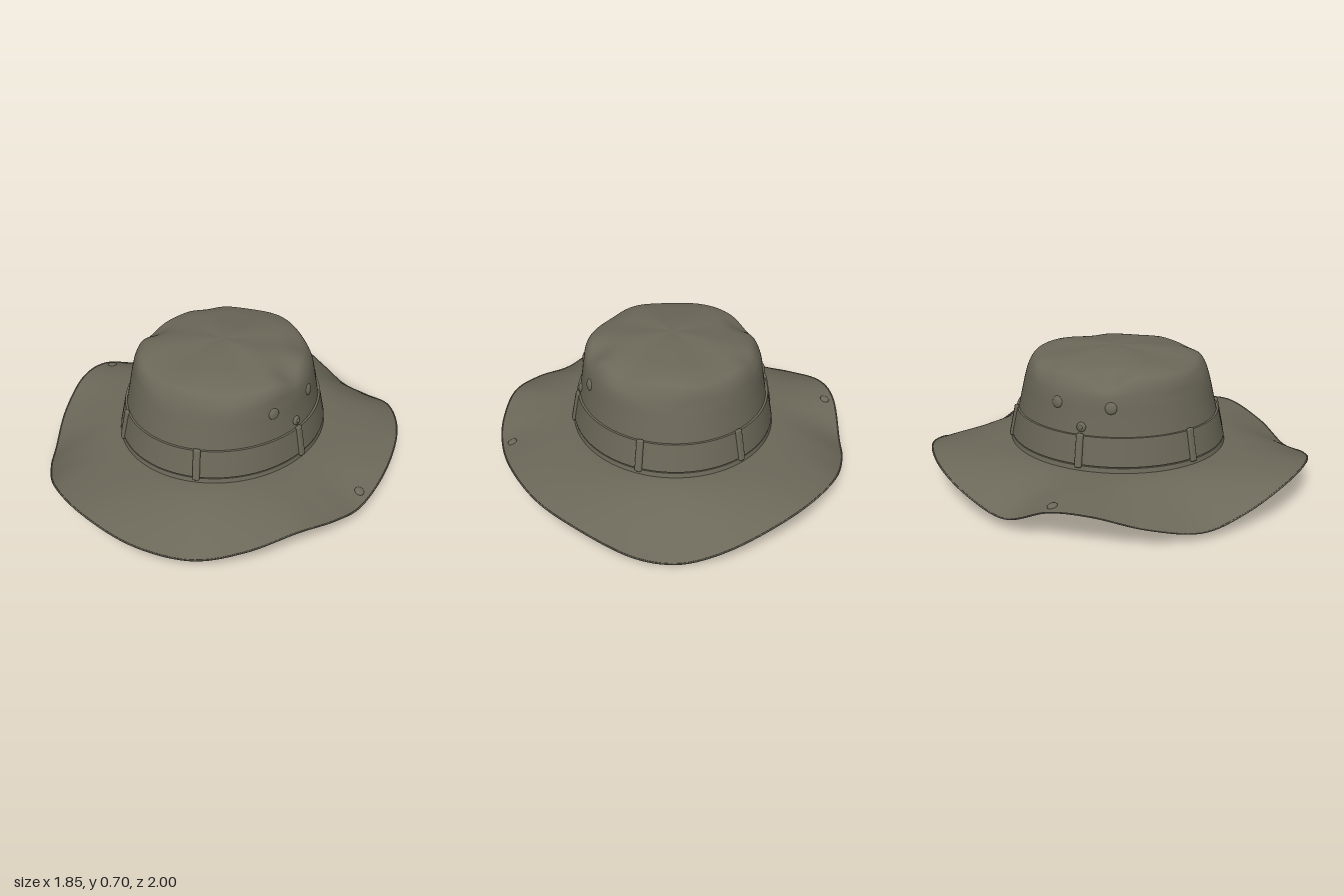
import * as THREE from 'three';
import { mergeVertices, toCreasedNormals } from 'three/addons/utils/BufferGeometryUtils.js';
import { RoundedBoxGeometry } from 'three/addons/geometries/RoundedBoxGeometry.js';

const CZ = -0.02; // the crown sits slightly behind the centre

// Half widths of the leaning, oval crown wall at height y
const wall = (y, out = 0) => ({ rx: 0.522 - (y - 0.2) * 0.19 + out, rz: 0.568 - (y - 0.2) * 0.23 + out });

function wallPoint(angle, y, out = 0) {
  const { rx, rz } = wall(y, out);
  return new THREE.Vector3(rx * Math.cos(angle), y, CZ + rz * Math.sin(angle));
}

// Smooth surface from fn(u, v), closed around u
function sweep(nu, nv, fn) {
  const pos = [], index = [];
  for (let j = 0; j <= nv; j++)
    for (let i = 0; i < nu; i++) pos.push(...fn(i / nu, j / nv).toArray());
  for (let j = 0; j < nv; j++)
    for (let i = 0; i < nu; i++) {
      const k = (i + 1) % nu, a = j * nu + i, b = j * nu + k, c = a + nu, d = b + nu;
      index.push(a, c, b, b, c, d);
    }
  let g = new THREE.BufferGeometry();
  g.setAttribute('position', new THREE.Float32BufferAttribute(pos, 3));
  g.setIndex(index);
  g = mergeVertices(g, 1e-5);
  g.computeVertexNormals();
  return g;
}

// Wavy outer edge of the brim, clockwise from the left side
const rim = new THREE.CatmullRomCurve3([
  [0.92, 0.115, 0], [0.9, 0.145, 0.2], [0.83, 0.17, 0.4], [0.69, 0.115, 0.62],
  [0.5, 0.065, 0.79], [0.27, 0.125, 0.94], [0, 0.19, 0.995], [-0.27, 0.175, 0.94],
  [-0.48, 0.095, 0.8], [-0.64, 0.045, 0.64], [-0.8, 0.1, 0.43], [-0.9, 0.17, 0.2],
  [-0.92, 0.165, 0], [-0.88, 0.07, -0.24], [-0.81, 0.11, -0.47], [-0.68, 0.17, -0.7],
  [-0.46, 0.18, -0.89], [-0.2, 0.12, -0.985], [0, 0.045, -0.99], [0.17, 0.005, -0.96],
  [0.36, 0.04, -0.91], [0.58, 0.13, -0.79], [0.76, 0.155, -0.58], [0.88, 0.145, -0.28],
].map((p) => new THREE.Vector3(...p)), true, 'catmullrom');

// Brim point: t = 0 at the crown, 1 at the rim
function brimPoint(u, t) {
  const outer = rim.getPoint(u);
  const { rx, rz } = wall(0.2);
  const inner = wallPoint(Math.atan2((outer.z - CZ) / rz, outer.x / rx), 0.205);
  const p = inner.clone().lerp(outer, t);
  p.y = THREE.MathUtils.lerp(inner.y, outer.y, t ** 1.8);
  return p;
}

// Crown profile: x = half width, y = height, z = half depth
const profile = new THREE.CatmullRomCurve3([
  [0.522, 0.2, 0.568], [0.49, 0.37, 0.53], [0.475, 0.46, 0.508], [0.463, 0.54, 0.488],
  [0.447, 0.6, 0.468], [0.42, 0.642, 0.44], [0.36, 0.666, 0.375], [0.24, 0.684, 0.25],
  [0.1, 0.698, 0.1], [0, 0.7, 0],
].map((p) => new THREE.Vector3(...p)));

// Soft dents in the shoulder of the crown: x, z, depth, width
const dents = [[0.41, -0.06, 0.035, 0.09], [-0.4, 0.09, 0.035, 0.08], [-0.36, -0.28, 0.02, 0.08],
  [0.28, 0.33, 0.012, 0.1], [0.3, -0.33, 0.015, 0.09]];

function crownPoint(u, v) {
  const a = u * Math.PI * 2, p = profile.getPoint(v);
  const soft = THREE.MathUtils.smoothstep(p.y, 0.54, 0.65);
  const edge = Math.min(1, p.x / 0.35);
  const ripple = 1 + soft * edge * (0.012 * Math.sin(3 * a + 1) + 0.008 * Math.sin(7 * a));
  const x = p.x * Math.cos(a) * ripple, z = CZ + p.z * Math.sin(a) * ripple;
  let y = p.y + soft * edge * 0.006 * Math.sin(5 * a + 2);
  for (const [dx, dz, depth, w] of dents)
    y -= soft * depth * Math.exp(-((x - dx) ** 2 + (z - dz) ** 2) / (w * w));
  return new THREE.Vector3(x, y, z);
}

// Flat strip wrapped around the crown
function strip(y0, y1, out) {
  const section = [[y0, -0.004], [y0, out], [y1, out], [y1, -0.004]];
  const g = sweep(96, 3, (u, v) => {
    const [y, o] = section[Math.round(v * 3)];
    return wallPoint(u * Math.PI * 2, y, o);
  });
  return toCreasedNormals(g, 0.6);
}

export function createModel() {
  const hat = new THREE.Group();
  hat.name = 'hat';
  const cloth = new THREE.MeshStandardMaterial({ color: 0x6c6859, side: THREE.DoubleSide });
  cloth.name = 'olive cloth';

  const add = (name, geometry) => {
    const m = new THREE.Mesh(geometry, cloth);
    m.name = name;
    hat.add(m);
    return m;
  };
  // Fix a part on the crown wall, facing outward
  const attach = (m, angle, y, out) => {
    const { rx, rz } = wall(y);
    m.position.copy(wallPoint(angle, y, out));
    const n = new THREE.Vector3(Math.cos(angle) / rx, 0.4, Math.sin(angle) / rz);
    m.lookAt(m.position.clone().add(n));
  };
  const dome = (r, h) => new THREE.SphereGeometry(r, 20, 12).scale(1, 1, h / r);

  // Brim with a narrow sewn edge
  add('brim', sweep(192, 24, (u, v) => brimPoint(u, 1 - v)));
  add('brimHem', new THREE.TubeGeometry(rim, 192, 0.004, 6, true));

  // Crown, band and base seam
  add('crown', sweep(128, 64, crownPoint));
  add('band', strip(0.235, 0.375, 0.012));
  add('baseSeam', strip(0.2, 0.228, 0.009));

  // Loops over the band
  for (const deg of [0, 61, 119, 180, 241, 299]) {
    const loop = add('bandLoop', new RoundedBoxGeometry(0.036, 0.17, 0.022, 3, 0.009));
    attach(loop, THREE.MathUtils.degToRad(deg), 0.303, 0.014);
  }

  // Snaps and vents on both sides of the crown
  for (const side of [0, Math.PI]) {
    attach(add('crownSnap', dome(0.024, 0.014)), side, 0.413, 0.002);
    attach(add('snapCap', dome(0.011, 0.007)), side, 0.415, 0.014);
    for (const turn of [-0.285, 0.285])
      attach(add('ventEyelet', dome(0.03, 0.012)), side + turn, 0.513, 0.003);
  }

  // Snaps on the brim
  for (const u of [0.99, 0.5]) {
    const p = brimPoint(u, 0.87);
    const across = brimPoint(u, 0.9).sub(brimPoint(u, 0.84));
    const along = brimPoint(u + 0.005, 0.87).sub(brimPoint(u - 0.005, 0.87));
    const snap = add('brimSnap', dome(0.025, 0.011));
    snap.position.copy(p);
    snap.lookAt(p.clone().add(along.cross(across).normalize()));
  }
  return hat;
}
